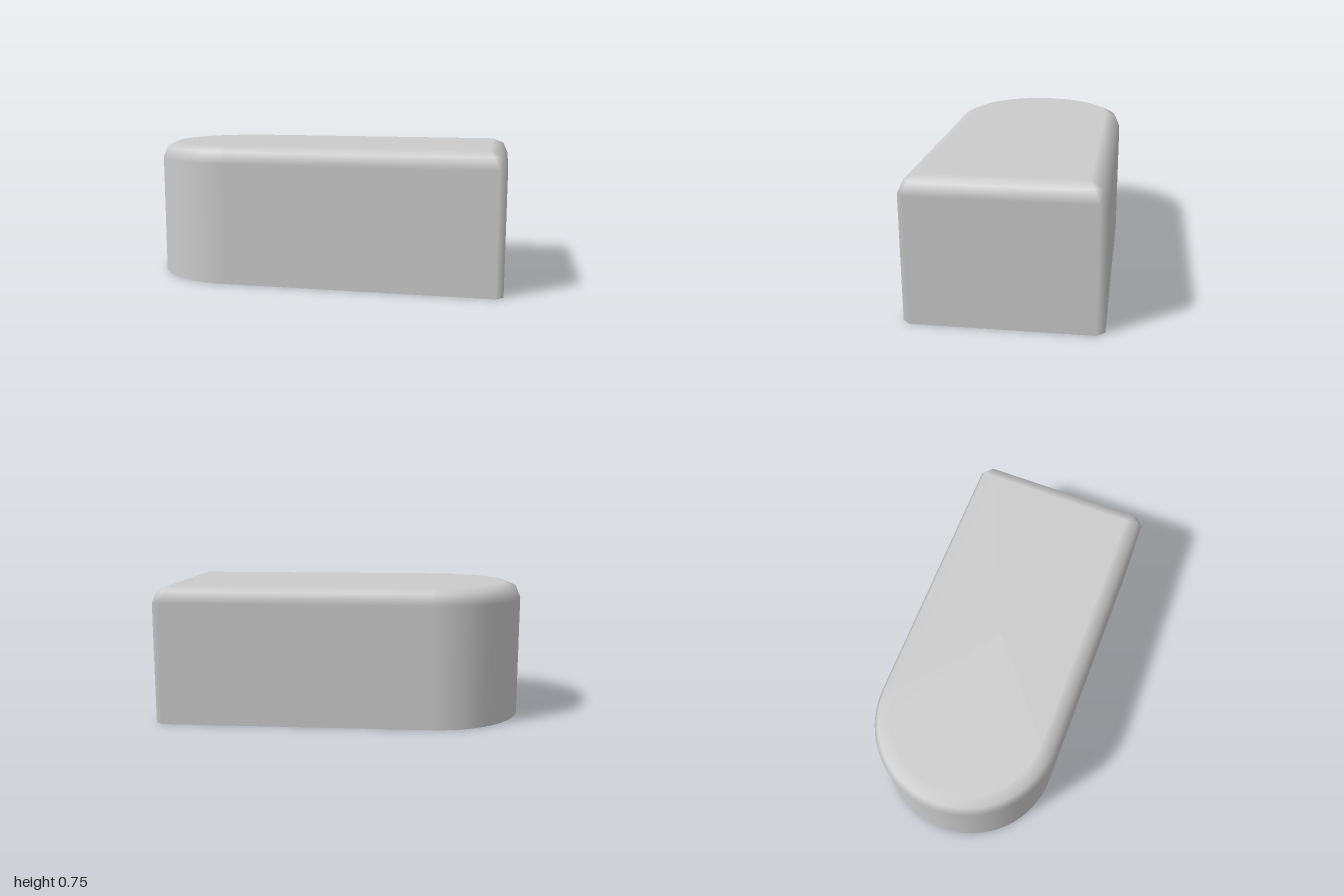
import * as THREE from 'three';

const BEVEL = 0.09, HEIGHT = 0.75, CHAMFER = 0.04, ARC_STEPS = 32;

// Plan outline: each point has a position, an outward normal (nx, nz)
// and an inset direction (ix, iz) for the bevel.
function makeOutline() {
  const pts = [];
  const corner = (s) => [
    { x: 1, z: s * (0.5 - CHAMFER), nx: 1, nz: 0, ix: 1, iz: s },
    { x: 1 - CHAMFER, z: s * 0.5, nx: 0, nz: s, ix: 1, iz: s },
  ];
  pts.push(...corner(1));
  for (let i = 0; i <= ARC_STEPS; i++) {
    const a = Math.PI / 2 + (Math.PI * i) / ARC_STEPS;
    const c = Math.cos(a), s = Math.sin(a);
    pts.push({ x: -0.5 + 0.5 * c, z: 0.5 * s, nx: c, nz: s, ix: c, iz: s });
  }
  pts.push(...corner(-1).reverse());
  return pts;
}

// Open-bottomed shell: upright wall, two-step rounded bevel, flat top.
function shellGeometry() {
  const outline = makeOutline(), n = outline.length;
  const position = [], normal = [], index = [];
  const rings = [[0, 0]];
  for (let k = 0; k <= 2; k++) rings.push([HEIGHT - BEVEL, (k * Math.PI) / 4]);

  rings.forEach(([y, t]) => {
    const d = BEVEL * (1 - Math.cos(t));
    for (const p of outline) {
      // the corner chamfer narrows to a point at the top
      const slide = Math.min(d, BEVEL - CHAMFER);
      const isEnd = p.nx === 1, isSide = p.nx === 0;
      const dx = isSide ? slide : d, dz = isEnd ? slide : d;
      position.push(p.x - p.ix * dx, y + BEVEL * Math.sin(t), p.z - p.iz * dz);
      normal.push(p.nx * Math.cos(t), Math.sin(t), p.nz * Math.cos(t));
    }
  });

  for (let j = 0; j < rings.length - 1; j++) {
    for (let i = 0; i < n; i++) {
      const a = j * n + i, b = j * n + ((i + 1) % n);
      index.push(b, a, a + n, b, a + n, b + n);
    }
  }

  // top face as a fan around its centre
  const centre = position.length / 3, top = (rings.length - 1) * n;
  position.push(0, HEIGHT, 0);
  normal.push(0, 1, 0);
  for (let i = 0; i < n; i++) index.push(centre, top + ((i + 1) % n), top + i);

  const geo = new THREE.BufferGeometry();
  geo.setAttribute('position', new THREE.Float32BufferAttribute(position, 3));
  geo.setAttribute('normal', new THREE.Float32BufferAttribute(normal, 3));
  geo.setIndex(index);
  return geo;
}

export function createModel() {
  const group = new THREE.Group();
  group.name = 'roundEndedBlock';
  const material = new THREE.MeshStandardMaterial({ color: 0xcccccc, side: THREE.DoubleSide });
  const shell = new THREE.Mesh(shellGeometry(), material);
  shell.name = 'shell';
  group.add(shell);
  return group;
}
